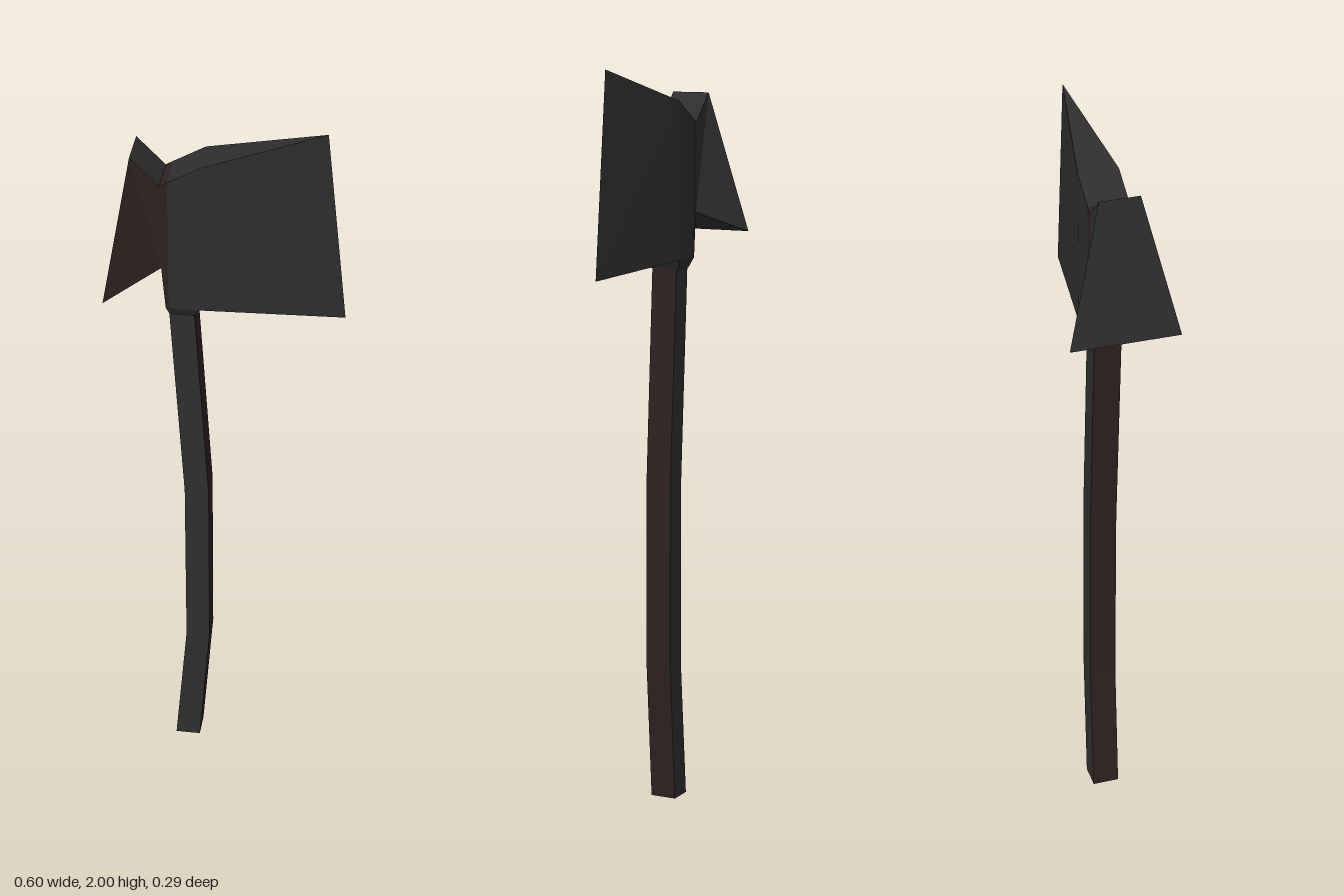
import * as THREE from 'three';

const iron = new THREE.MeshStandardMaterial({ color: 0x2e2e2e });
iron.name = 'dark iron';
const wood = new THREE.MeshStandardMaterial({ color: 0x2e2121 });
wood.name = 'dark reddish wood';

// Solid mirrored across z = 0 from an outline of [x, y, half thickness],
// anticlockwise as seen from +z; materials are [front, back, rim].
function mirroredSolid(name, outline, materials) {
  const position = [];
  const geometry = new THREE.BufferGeometry();
  const points = outline.map(([x, y, z]) => new THREE.Vector3(x, y, z));
  const flip = (p) => new THREE.Vector3(p.x, p.y, -p.z);
  const tri = (a, b, c) => {
    if (new THREE.Triangle(a, b, c).getArea() < 1e-7) return;
    for (const p of [a, b, c]) position.push(p.x, p.y, p.z);
  };
  const group = (index, fill) => {
    const start = position.length / 3;
    fill();
    geometry.addGroup(start, position.length / 3 - start, index);
  };
  const fan = (visit) => {
    for (let i = 1; i < points.length - 1; i++) visit(points[0], points[i], points[i + 1]);
  };
  group(0, () => fan((a, b, c) => tri(a, b, c)));
  group(1, () => fan((a, b, c) => tri(flip(a), flip(c), flip(b))));
  group(2, () => points.forEach((a, i) => {
    const b = points[(i + 1) % points.length];
    tri(a, flip(a), flip(b));
    tri(a, flip(b), b);
  }));
  geometry.setAttribute('position', new THREE.Float32BufferAttribute(position, 3));
  geometry.computeVertexNormals();
  const mesh = new THREE.Mesh(geometry, materials);
  mesh.name = name;
  return mesh;
}

export function createModel() {
  const axe = new THREE.Group();
  axe.name = 'axe';

  // Bent square handle: [left x, right x, y]
  const handle = new THREE.Group();
  handle.name = 'handle';
  const stations = [[-0.148, -0.08, 0], [-0.115, -0.05, 0.38], [-0.115, -0.05, 0.89], [-0.15, -0.085, 1.48]];
  for (let i = 0; i < stations.length - 1; i++) {
    const [l0, r0, y0] = stations[i];
    const [l1, r1, y1] = stations[i + 1];
    handle.add(mirroredSolid('handleSegment' + (i + 1),
      [[l1, y1, 0.036], [l0, y0, 0.036], [r0, y0, 0.036], [r1, y1, 0.036]], [iron, iron, wood]));
  }
  axe.add(handle);

  const head = new THREE.Group();
  head.name = 'head';
  const t = 0.053;

  // Tapered socket under the head
  head.add(mirroredSolid('collar',
    [[-0.155, 1.49, t], [-0.147, 1.463, 0.04], [-0.085, 1.463, 0.04], [-0.07, 1.49, t]], [iron, iron, iron]));

  // Reddish strip joining the poll to the cheek
  head.add(mirroredSolid('neck',
    [[-0.147, 1.862, t], [-0.167, 1.85, t], [-0.165, 1.61, t], [-0.155, 1.49, t], [-0.147, 1.49, t]],
    [wood, wood, wood]));

  // Thick middle of the head
  head.add(mirroredSolid('cheek',
    [[-0.147, 1.862, t], [-0.147, 1.49, t], [-0.07, 1.49, t], [-0.065, 1.91, t]], [iron, iron, iron]));

  // Wedge tapering to the cutting edge
  head.add(mirroredSolid('blade',
    [[-0.065, 1.91, t], [-0.07, 1.49, t], [0.3, 1.468, 0], [0.245, 2, 0]], [iron, iron, iron]));

  // Poll flaring out to the lower rear corners
  head.add(mirroredSolid('poll',
    [[-0.24, 1.925, t], [-0.3, 1.552, 0.145], [-0.165, 1.61, t], [-0.167, 1.85, t]], [wood, iron, iron]));

  axe.add(head);
  return axe;
}
